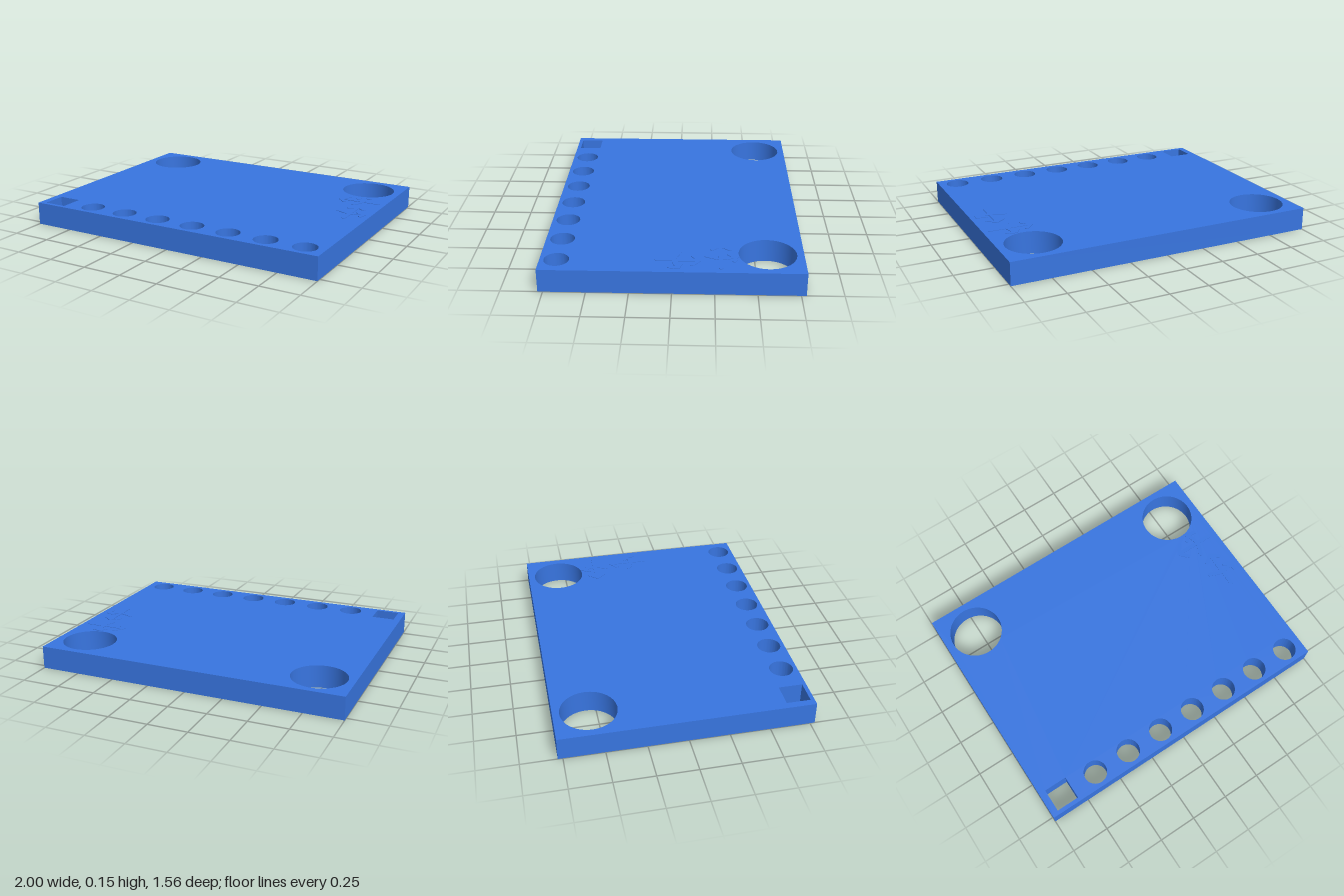
import * as THREE from 'three';
import { toCreasedNormals } from 'three/addons/utils/BufferGeometryUtils.js';

const HALF_X = 1, HALF_Z = 0.78, BOARD = 0.146, MARK = 0.003, STROKE = 0.0125;

// Plan coordinates are (x, z); shapes are drawn with y = -z and laid flat.
function layFlat(shape, height) {
  const geo = new THREE.ExtrudeGeometry(shape, { depth: height, bevelEnabled: false, curveSegments: 32 });
  geo.rotateX(-Math.PI / 2);
  return toCreasedNormals(geo, Math.PI / 6);
}

function rectPath(path, x0, z0, x1, z1) {
  path.moveTo(x0, -z1).lineTo(x1, -z1).lineTo(x1, -z0).lineTo(x0, -z0).closePath();
  return path;
}

function roundHole(x, z, r) {
  return new THREE.Path().absarc(x, -z, r, 0, Math.PI * 2, true);
}

// Constant-width line with round ends, following a list of plan points
function strokeShape(points) {
  const pts = points.map(([x, z]) => new THREE.Vector2(x, -z));
  const last = pts.length - 1;
  const angleAt = (i) => {
    const d = pts[Math.min(i + 1, last)].clone().sub(pts[Math.max(i - 1, 0)]);
    return Math.atan2(d.y, d.x);
  };
  const outline = [];
  const add = (p, a) => outline.push(new THREE.Vector2(p.x + STROKE * Math.cos(a), p.y + STROKE * Math.sin(a)));
  for (let i = 0; i <= last; i++) add(pts[i], angleAt(i) - Math.PI / 2);
  for (let k = 1; k < 8; k++) add(pts[last], angleAt(last) - Math.PI / 2 + k * Math.PI / 8);
  for (let i = last; i >= 0; i--) add(pts[i], angleAt(i) + Math.PI / 2);
  for (let k = 1; k < 8; k++) add(pts[0], angleAt(0) + Math.PI / 2 + k * Math.PI / 8);
  return new THREE.Shape(outline);
}

// Points of a smooth bow through a start, middle and end
function bow(...through) {
  const curve = new THREE.SplineCurve(through.map(([x, z]) => new THREE.Vector2(x, z)));
  return curve.getPoints(14).map((p) => [p.x, p.y]);
}

export function createModel() {
  const model = new THREE.Group();
  model.name = 'breakoutBoard';
  const blue = new THREE.MeshStandardMaterial({ color: 0x3875e0 });

  // Board with mounting holes, square first pin and round pin holes
  const outline = rectPath(new THREE.Shape(), -HALF_X, -HALF_Z, HALF_X, HALF_Z);
  for (const side of [-1, 1]) outline.holes.push(roundHole(side * 0.78, -0.564, 0.173));
  outline.holes.push(rectPath(new THREE.Path(), -0.955, 0.605, -0.805, 0.755));
  for (let i = 1; i < 8; i++) outline.holes.push(roundHole(-0.877 + i * 0.2505, 0.68, 0.075));
  const board = new THREE.Mesh(layFlat(outline, BOARD), blue);
  board.name = 'board';
  model.add(board);

  // Thin printed axis arrows, each crossed by a curved rotation arrow
  const arrows = {
    sidewaysArrow: [
      [[0.95, -0.285], [0.69, -0.285]],
      [[0.735, -0.34], [0.69, -0.285]],
      [[0.735, -0.235], [0.69, -0.285]],
    ],
    sidewaysRotationArrow: [
      bow([0.815, -0.2], [0.845, -0.285], [0.82, -0.375]),
      [[0.795, -0.335], [0.82, -0.375]],
      [[0.87, -0.365], [0.82, -0.375]],
    ],
    backwardArrow: [
      [[0.865, 0.09], [0.865, -0.16]],
      [[0.815, -0.12], [0.865, -0.16]],
      [[0.915, -0.12], [0.865, -0.16]],
    ],
    backwardRotationArrow: [
      bow([0.775, -0.04], [0.865, -0.01], [0.955, -0.035]),
      [[0.905, -0.05], [0.955, -0.035]],
      [[0.945, 0.015], [0.955, -0.035]],
    ],
  };
  for (const [name, strokes] of Object.entries(arrows)) {
    const geo = layFlat(strokes.map(strokeShape), MARK);
    const arrow = new THREE.Mesh(geo, blue);
    arrow.name = name;
    arrow.position.y = BOARD;
    model.add(arrow);
  }
  return model;
}
